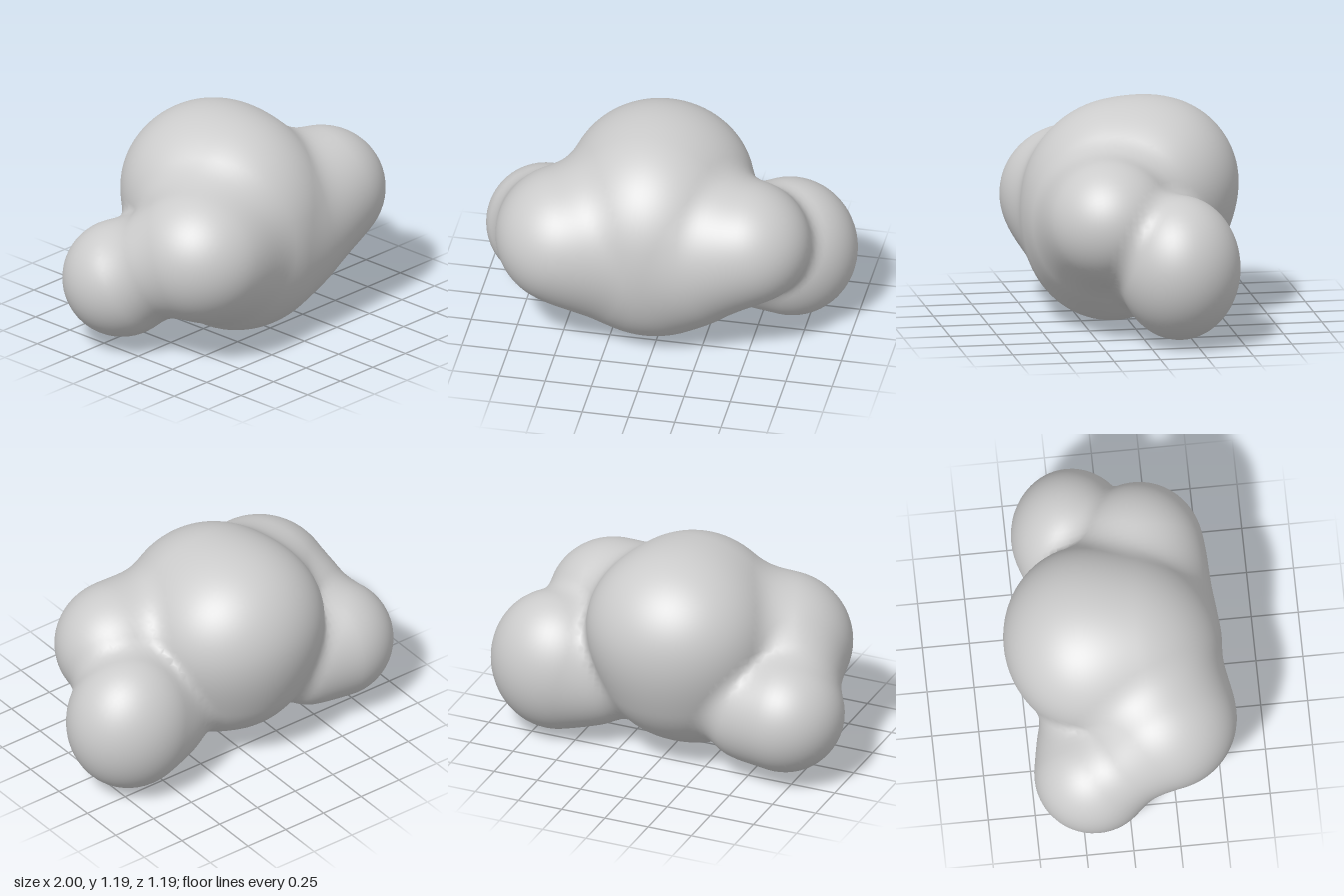
import * as THREE from 'three';

// Puffs of the cloud: centre, radii, and how softly each melts into the rest
const puffs = [
  { c: [-0.055, 0.63, -0.01], r: [0.515, 0.56, 0.56], k: 0 },    // core
  { c: [-0.05, 0.74, -0.15], r: [0.495, 0.45, 0.455], k: 0.05 }, // upper back
  { c: [-0.05, 0.5, 0.08], r: [0.53, 0.495, 0.46], k: 0.05 },    // lower belly
  { c: [0.2, 0.55, 0.19], r: [0.36, 0.38, 0.335], k: 0.08 },     // front left filling
  { c: [-0.28, 0.51, 0.17], r: [0.36, 0.36, 0.35], k: 0.08 },    // front right filling
  { c: [0.46, 0.645, 0.17], r: [0.355, 0.335, 0.34], k: 0.12 },  // front left
  { c: [-0.485, 0.59, 0.2], r: [0.385, 0.37, 0.39], k: 0.12 },   // front right
  { c: [0.43, 0.37, -0.14], r: [0.27, 0.28, 0.27], k: 0.08 },    // back left neck
  { c: [-0.5, 0.38, -0.22], r: [0.27, 0.28, 0.25], k: 0.08 },    // back right neck
  { c: [-0.63, 0.5, 0.0], r: [0.27, 0.28, 0.26], k: 0.08 },      // right side filling
  { c: [0.645, 0.42, -0.17], r: [0.355, 0.385, 0.325], k: 0.08 },// back left
  { c: [-0.685, 0.385, -0.19], r: [0.315, 0.315, 0.315], k: 0.06 },// back right
];

// Approximate signed distance to an ellipsoid
function ellipsoid(p, { c, r }) {
  const q = p.map((v, i) => (v - c[i]) / r[i]);
  const k0 = Math.hypot(...q);
  const k1 = Math.hypot(q[0] / r[0], q[1] / r[1], q[2] / r[2]);
  return k1 < 1e-6 ? -Math.min(...r) : (k0 * (k0 - 1)) / k1;
}

// Smooth union of all puffs
function field(p) {
  let d = ellipsoid(p, puffs[0]);
  for (const puff of puffs.slice(1)) {
    const e = ellipsoid(p, puff);
    const h = Math.max(puff.k - Math.abs(d - e), 0);
    d = Math.min(d, e) - (h * h) / (4 * puff.k);
  }
  return d;
}

function gradient(p) {
  const s = 0.002;
  return p.map((_, i) => {
    const a = [...p], b = [...p];
    a[i] += s;
    b[i] -= s;
    return (field(a) - field(b)) / (2 * s);
  });
}

// Skin the field: one vertex per crossed cell, one quad per crossed edge
function skin(min, size, step) {
  const n = size.map((s) => Math.ceil(s / step) + 1);
  const stride = [1, n[0], n[0] * n[1]];
  const at = (c) => c[0] + c[1] * stride[1] + c[2] * stride[2];
  const point = (c) => c.map((v, i) => min[i] + v * step);
  const values = new Float32Array(n[0] * n[1] * n[2]);
  const each = (fn) => {
    for (let z = 0; z < n[2]; z++)
      for (let y = 0; y < n[1]; y++)
        for (let x = 0; x < n[0]; x++) fn([x, y, z]);
  };
  each((c) => { values[at(c)] = field(point(c)); });

  const positions = [], normals = [], indices = [];
  const ids = new Map();
  each((c) => {
    if (c.some((v, i) => v >= n[i] - 1)) return;
    let inside = 0;
    for (let k = 0; k < 8; k++)
      if (values[at([c[0] + (k & 1), c[1] + ((k >> 1) & 1), c[2] + (k >> 2)])] < 0) inside++;
    if (inside === 0 || inside === 8) return;
    // Pull the cell centre onto the surface
    let p = point(c.map((v) => v + 0.5));
    for (let k = 0; k < 4; k++) {
      const g = gradient(p), d = field(p);
      const len2 = Math.max(g[0] ** 2 + g[1] ** 2 + g[2] ** 2, 0.2);
      p = p.map((v, i) => v - (g[i] * d) / len2);
    }
    const g = gradient(p), len = Math.hypot(...g) || 1;
    ids.set(at(c), positions.length / 3);
    positions.push(...p);
    normals.push(...g.map((v) => v / len));
  });

  each((c) => {
    const i = at(c);
    for (let a = 0; a < 3; a++) {
      if (c[a] >= n[a] - 1) continue;
      const here = values[i] < 0;
      if (here === values[i + stride[a]] < 0) continue;
      const b = stride[(a + 1) % 3], d = stride[(a + 2) % 3];
      const quad = [i - b - d, i - d, i, i - b].map((cell) => ids.get(cell));
      if (!here) quad.reverse();
      indices.push(quad[0], quad[1], quad[2], quad[0], quad[2], quad[3]);
    }
  });

  const geometry = new THREE.BufferGeometry();
  geometry.setAttribute('position', new THREE.Float32BufferAttribute(positions, 3));
  geometry.setAttribute('normal', new THREE.Float32BufferAttribute(normals, 3));
  geometry.setIndex(indices);
  return geometry;
}

export function createModel() {
  const group = new THREE.Group();
  group.name = 'cloud';
  const geometry = skin([-1.12, -0.12, -0.74], [2.24, 1.44, 1.48], 0.035);

  // Centre it and stand it on the ground
  geometry.computeBoundingBox();
  const { min, max } = geometry.boundingBox;
  geometry.translate(-(min.x + max.x) / 2, -min.y, -(min.z + max.z) / 2);

  const body = new THREE.Mesh(geometry, new THREE.MeshStandardMaterial({ color: 0xcccccc }));
  body.name = 'cloudBody';
  group.add(body);
  return group;
}
